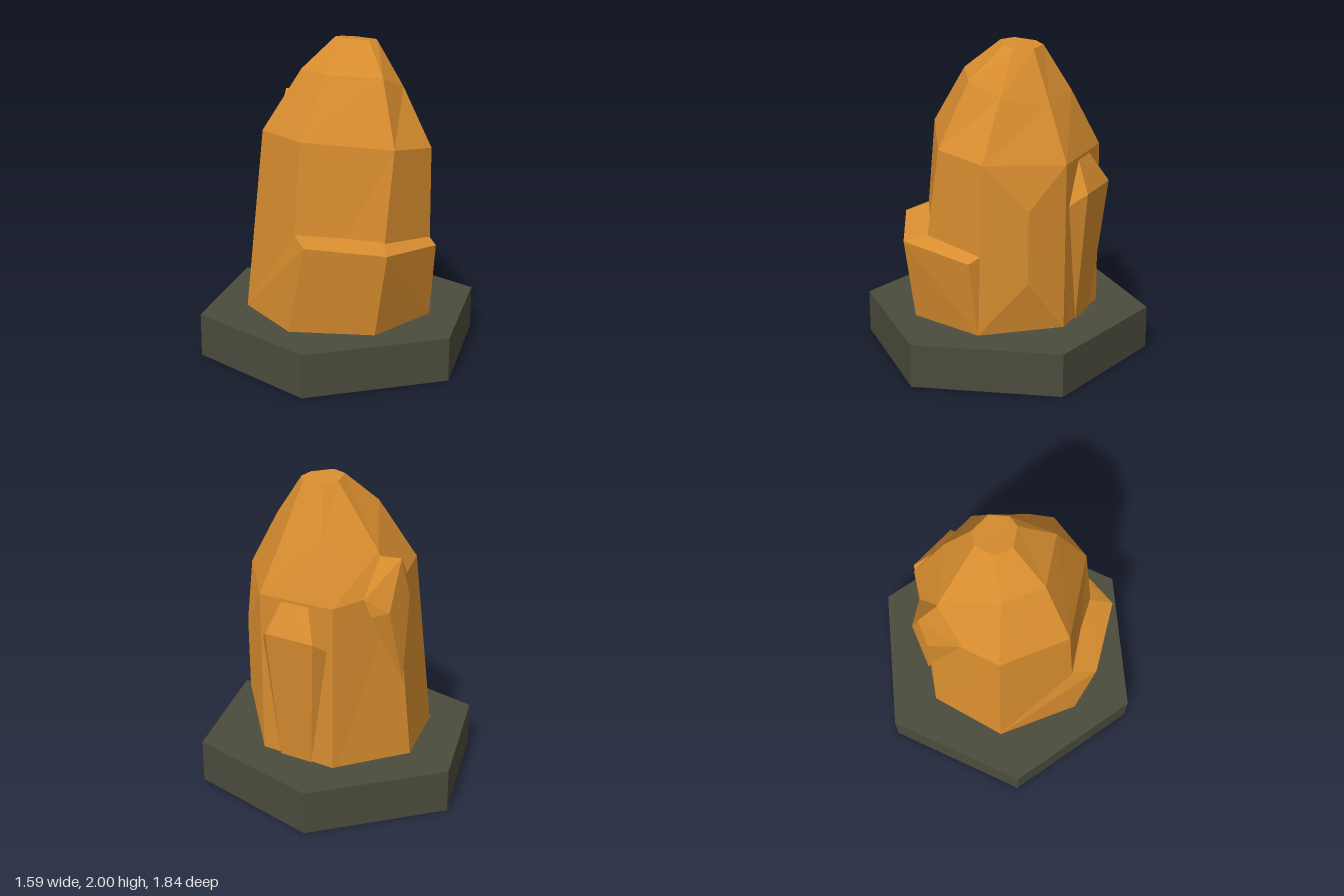
import * as THREE from 'three';
import { ConvexGeometry } from 'three/addons/geometries/ConvexGeometry.js';

export function createModel() {
  const model = new THREE.Group();
  const rock = new THREE.MeshStandardMaterial({ color: 0xd88d2f, flatShading: true, side: THREE.DoubleSide });
  rock.name = 'amberRock';
  const stone = new THREE.MeshStandardMaterial({ color: 0x4b4c3c, flatShading: true, side: THREE.DoubleSide });
  stone.name = 'darkStone';

  const add = (name, geometry, material) => {
    const mesh = new THREE.Mesh(geometry, material);
    mesh.name = name;
    model.add(mesh);
  };
  const hull = (name, points) =>
    add(name, new ConvexGeometry(points.map((p) => new THREE.Vector3(...p))), rock);

  // Hexagonal plinth: open underneath
  const H = 0.275, R = 0.92;
  add('plinthWall', new THREE.CylinderGeometry(R, R, H, 6, 1, true).translate(0, H / 2, 0), stone);
  add('plinthTop', new THREE.CircleGeometry(R, 6, Math.PI / 2).rotateX(-Math.PI / 2).translate(0, H, 0), stone);

  // Rock body: seven columns, each from the top facet down to the open foot
  const columns = [
    [[0.10, 1.985, 0.15], [0, 1.79, 0.36], [-0.09, 1.39, 0.54], [-0.28, 0.2, 0.56]],
    [[0.18, 1.975, 0.15], [0.22, 1.71, 0.33], [0.25, 1.35, 0.54], [0.23, 0.2, 0.56]],
    [[0.26, 1.97, 0.06], [0.41, 1.65, 0.09], [0.565, 1.32, 0.13], [0.56, 0.2, 0.13]],
    [[0.23, 1.975, -0.08], [0.36, 1.69, -0.20], [0.455, 1.33, -0.375], [0.46, 0.2, -0.375]],
    [[0.14, 1.985, -0.12], [0.10, 1.61, -0.41], [0.06, 1.39, -0.53], [-0.02, 0.2, -0.60]],
    [[0.02, 2, -0.06], [-0.18, 1.81, -0.16], [-0.375, 1.43, -0.31], [-0.48, 0.2, -0.38]],
    [[0, 2, 0.05], [-0.24, 1.81, 0.11], [-0.48, 1.44, 0.13], [-0.605, 0.2, 0.15]],
  ];
  const n = columns.length;
  const pos = [];
  for (let j = 0; j < n; j++) {
    const a = columns[j], b = columns[(j + 1) % n];
    for (let i = 0; i < 3; i++) {
      pos.push(...a[i + 1], ...b[i + 1], ...b[i], ...a[i + 1], ...b[i], ...a[i]);
    }
    if (j > 0 && j < n - 1) pos.push(...columns[0][0], ...a[0], ...b[0]);
  }
  const body = new THREE.BufferGeometry();
  body.setAttribute('position', new THREE.Float32BufferAttribute(pos, 3));
  body.computeVertexNormals();
  add('rockBody', body, rock);

  const foot = 0.276;

  // Broken ledge around the front right corner
  hull('frontLedge', [
    [-0.53, 0.88, 0.13], [-0.18, 0.84, 0.53], [0.245, 0.79, 0.53],
    [-0.605, 0.84, 0.285], [-0.28, 0.80, 0.66], [0.21, 0.75, 0.625],
    [-0.475, foot, -0.38], [-0.605, foot, 0.15], [-0.28, foot, 0.565], [0.23, foot, 0.565],
  ]);

  // Bulging facets on the front left corner
  hull('cornerFacets', [
    [0.25, 1.35, 0.54], [0.565, 1.32, 0.13], [0.46, 1.06, 0.36],
    [0.455, 0.6, 0.36], [0.23, foot, 0.56], [0.56, foot, 0.13],
  ]);

  // Wedge growing from the left side
  hull('sideShard', [
    [0.54, 1.31, -0.03], [0.495, 1.31, -0.21], [0.64, 1.12, 0.01], [0.57, 1.12, -0.32],
    [0.57, 1.055, 0.105], [0.48, 1.06, -0.35], [0.55, foot, -0.01], [0.50, foot, -0.23],
  ]);

  // Pointed shard at the back
  hull('backShard', [
    [0.08, 1.6, -0.575], [0.18, 1.28, -0.575], [0, 1.34, -0.575], [0.05, 0.8, -0.575],
    [0.10, 1.58, -0.41], [-0.15, 1.41, -0.42], [0.27, 1.36, -0.455], [0.25, 1.25, -0.49],
  ]);

  return model;
}
